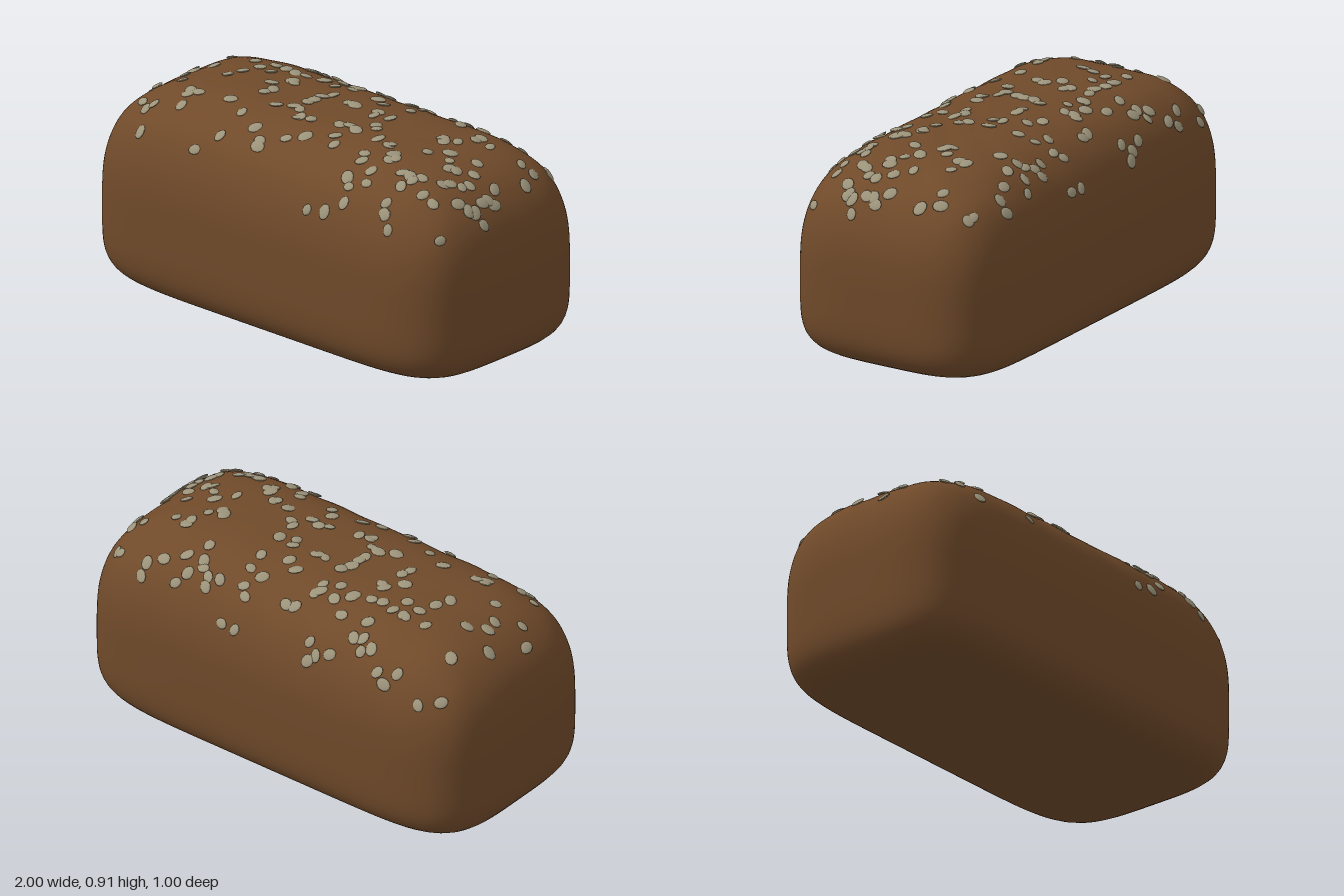
import * as THREE from 'three';
import { mergeVertices, mergeGeometries } from 'three/addons/utils/BufferGeometryUtils.js';

const MID = 0.365;    // height of the widest level
const RISE = 0.53;    // domed part above it

// Main seeds as x, z pairs; the rest are scattered
const SPOTS = [
  -.44, -.39, -.48, -.37, -.42, -.35, -.38, -.36, -.64, -.40, -.55, -.42, -.85, -.38, -.77, -.43,
  -.20, -.42, -.02, -.35, .20, -.35, .17, -.38, .37, -.37, .41, -.35, .36, -.40, .50, -.42,
  .67, -.43, .60, -.37, .85, -.36, .23, -.20, .05, -.20, -.17, -.18, -.10, -.21, -.25, -.20,
  -.38, -.17, -.33, -.18, -.46, -.11, -.61, -.18, -.79, -.24, -.86, -.08, -.79, 0, -.73, -.06,
  -.56, -.05, -.10, -.09, -.12, -.05, 0, -.07, .04, -.07, -.12, 0, .25, .03, -.32, .03,
  -.33, .07, -.14, .10, -.10, .11, .17, .10, .13, .12, .18, .20, .22, .25, 0, .15,
  -.29, .25, -.40, .20, -.60, .22, -.91, .10, -.85, .15, -.72, .14, -.73, .35, -.57, .31,
  -.17, .30, 0, .30, .07, .26, .40, .28, .48, .31, .50, .36, .43, .39, .36, .46,
  .65, .26, .72, .10, .83, .10, .90, .10, .55, -.05, .90, -.16, .87, -.24, .62, -.20
];

const planValue = (x, z) => Math.abs(x) ** 7 + Math.abs(z / 0.5) ** 4;

// Loaf as a rounded solid: value below 1 inside, above 1 outside (y measured from MID)
function field(x, y, z) {
  const plan = planValue(x, z);
  return y > 0
    ? plan ** 0.725 + (y / RISE) ** 2.9
    : plan ** 1.2 + (-y / MID) ** 5;
}

// Distance along a ray from the loaf's middle to its crust
function reach(d) {
  let lo = 0, hi = 2;
  for (let i = 0; i < 32; i++) {
    const t = (lo + hi) / 2;
    if (field(d.x * t, d.y * t, d.z * t) < 1) lo = t; else hi = t;
  }
  return lo;
}

function makeLoaf(material) {
  let g = new THREE.BoxGeometry(2, 0.9, 1, 64, 32, 36);
  g.deleteAttribute('uv');
  g.deleteAttribute('normal');
  g = mergeVertices(g, 1e-5);
  const p = g.attributes.position, d = new THREE.Vector3();
  for (let i = 0; i < p.count; i++) {
    d.fromBufferAttribute(p, i).normalize();
    d.multiplyScalar(reach(d));
    // faint wrinkles in the upper crust
    const fade = THREE.MathUtils.smoothstep(d.y, 0.15, 0.45);
    const wave = Math.sin(d.x * 23 + 3 * Math.sin(d.z * 7)) * Math.sin(d.z * 17 + d.x * 5);
    d.multiplyScalar(1 + 0.004 * fade * wave);
    p.setXYZ(i, d.x, d.y + MID, d.z);
  }
  g.computeVertexNormals();
  const loaf = new THREE.Mesh(g, material);
  loaf.name = 'loaf';
  return loaf;
}

function makeSeeds(material) {
  let state = 7;
  const rand = () => (state = (state * 16807) % 2147483647) / 2147483647;
  const shape = new THREE.SphereGeometry(1, 12, 8);
  const up = new THREE.Vector3(0, 1, 0);
  const pieces = [];

  function addSeed(x, z) {
    const plan = planValue(x, z);
    if (plan >= 1) return;
    const y = RISE * (1 - plan ** 0.725) ** (1 / 2.9);
    if (y < 0.28) return;
    // crust normal from the slope of the field, with a little tilt
    const e = 1e-3;
    const n = new THREE.Vector3(
      field(x + e, y, z) - field(x - e, y, z),
      field(x, y + e, z) - field(x, y - e, z),
      field(x, y, z + e) - field(x, y, z - e)
    ).normalize();
    const pos = new THREE.Vector3(x, y + MID, z).addScaledVector(n, 0.003);
    n.x += (rand() - 0.5) * 0.35;
    n.z += (rand() - 0.5) * 0.35;
    const q = new THREE.Quaternion().setFromUnitVectors(up, n.normalize());
    q.multiply(new THREE.Quaternion().setFromAxisAngle(up, rand() * Math.PI * 2));
    const s = 0.85 + rand() * 0.3;
    const scale = new THREE.Vector3(0.03 * s, 0.007, 0.024 * s);
    pieces.push(shape.clone().applyMatrix4(new THREE.Matrix4().compose(pos, q, scale)));
  }

  for (let i = 0; i < SPOTS.length; i += 2) addSeed(SPOTS[i], SPOTS[i + 1]);
  // scatter, denser toward the left end
  while (pieces.length < 165) addSeed(-0.93 + 1.9 * rand() ** 0.6, (rand() - 0.5) * 0.96);

  const seeds = new THREE.Mesh(mergeGeometries(pieces), material);
  seeds.name = 'seeds';
  return seeds;
}

export function createModel() {
  const crust = new THREE.MeshStandardMaterial({ color: 0x704a2a });
  crust.name = 'brown crust';
  const oat = new THREE.MeshStandardMaterial({ color: 0x9c937a });
  oat.name = 'pale seed';

  const bread = new THREE.Group();
  bread.name = 'seededBread';
  bread.add(makeLoaf(crust), makeSeeds(oat));
  return bread;
}
